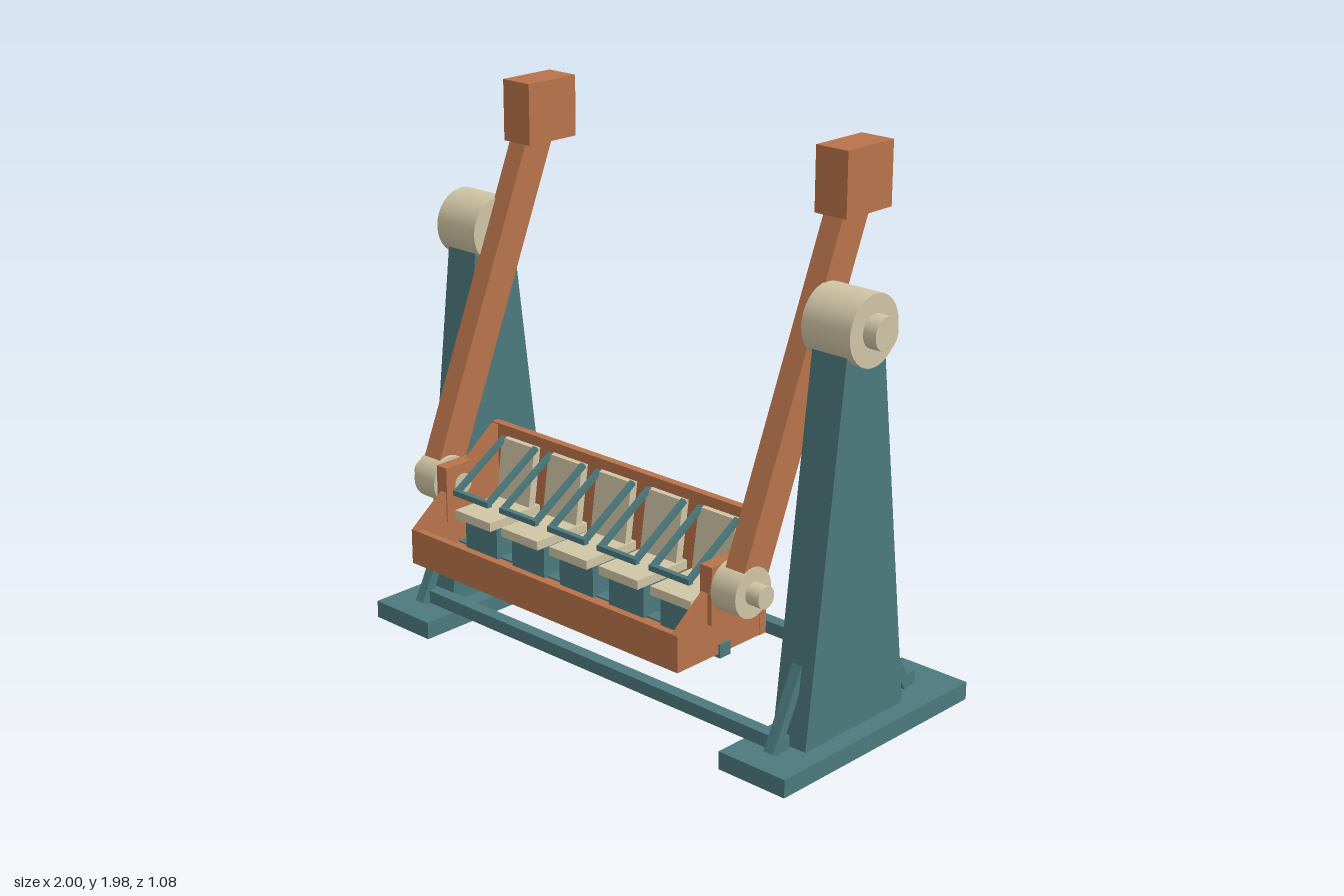
import * as THREE from 'three';

const paint = (name, color) => {
  const m = new THREE.MeshStandardMaterial({ color });
  m.name = name;
  return m;
};

export function createModel() {
  const teal = paint('teal', 0x4c797d);
  const copper = paint('copper', 0xb9734a);
  const cream = paint('cream', 0xcfc5a5);
  const model = new THREE.Group();
  model.name = 'swingRide';

  const add = (parent, name, geometry, material) => {
    const mesh = new THREE.Mesh(geometry, material);
    mesh.name = name;
    parent.add(mesh);
    return mesh;
  };
  // Box from its low and high limits on each axis
  const box = (parent, name, mat, [x0, x1], [y0, y1], [z0, z1]) =>
    add(parent, name, new THREE.BoxGeometry(x1 - x0, y1 - y0, z1 - z0)
      .translate((x0 + x1) / 2, (y0 + y1) / 2, (z0 + z1) / 2), mat);
  // Side outline of [z, y] points, extruded from x0 to x1
  const slab = (parent, name, mat, points, x0, x1) => {
    const shape = new THREE.Shape(points.map(p => new THREE.Vector2(...p)));
    const g = new THREE.ExtrudeGeometry(shape, { depth: x1 - x0, bevelEnabled: false });
    return add(parent, name, g.rotateY(-Math.PI / 2).translate(x1, 0, 0), mat);
  };
  // Cylinder lying along x
  const drum = (parent, name, mat, r, x0, x1, y, z) =>
    add(parent, name, new THREE.CylinderGeometry(r, r, x1 - x0, 32)
      .rotateZ(Math.PI / 2).translate((x0 + x1) / 2, y, z), mat);
  // Square beam in the y-z plane between two [z, y] points
  const beam = (parent, name, mat, x, width, thick, [z0, y0], [z1, y1]) => {
    const g = new THREE.BoxGeometry(width, Math.hypot(z1 - z0, y1 - y0), thick)
      .rotateX(Math.atan2(z1 - z0, y1 - y0))
      .translate(x, (y0 + y1) / 2, (z0 + z1) / 2);
    return add(parent, name, g, mat);
  };

  // Towers, arms and bearings, the same on both sides
  for (const s of [1, -1]) {
    const side = new THREE.Group();
    side.name = s > 0 ? 'leftSide' : 'rightSide';
    model.add(side);
    const span = (a, b) => (s > 0 ? [a, b] : [-b, -a]);

    box(side, 'basePlate', teal, span(0.71, 0.99), [0, 0.065], [-0.54, 0.42]);
    slab(side, 'tower', teal,
      [[0.235, 0.065], [0.076, 1.4], [-0.106, 1.4], [-0.27, 0.065]], ...span(0.78, 0.92));
    beam(side, 'frontBrace', teal, s * 0.85, 0.04, 0.035, [0.322, 0.07], [0.185, 0.34]);
    beam(side, 'rearBrace', teal, s * 0.85, 0.04, 0.035, [-0.365, 0.07], [-0.22, 0.34]);

    drum(side, 'mainBearing', cream, 0.121, ...span(0.755, 0.95), 1.445, -0.015);
    drum(side, 'mainAxle', cream, 0.057, ...span(0.75, 1), 1.445, -0.015);
    beam(side, 'arm', copper, s * 0.72, 0.08, 0.12, [0.33, 0.61], [-0.18, 1.84]);
    box(side, 'counterweight', copper, span(0.65, 0.78), [1.757, 1.977], [-0.3, -0.073]);

    drum(side, 'lowerBearing', cream, 0.086, ...span(0.66, 0.765), 0.61, 0.325);
    drum(side, 'lowerAxle', cream, 0.038, ...span(0.6, 0.82), 0.61, 0.325);
  }
  box(model, 'frontCrossbar', teal, [-0.87, 0.87], [0.07, 0.118], [0.255, 0.303]);
  box(model, 'rearCrossbar', teal, [-0.87, 0.87], [0.07, 0.118], [-0.404, -0.356]);

  // Gondola tub
  const gondola = new THREE.Group();
  gondola.name = 'gondola';
  model.add(gondola);
  box(gondola, 'floor', copper, [-0.62, 0.62], [0.363, 0.39], [0.13, 0.53]);
  box(gondola, 'frontWall', copper, [-0.635, 0.635], [0.362, 0.49], [0.513, 0.54]);
  box(gondola, 'backWall', copper, [-0.64, 0.64], [0.362, 0.79], [0.115, 0.145]);
  box(gondola, 'underBar', teal, [-0.645, 0.645], [0.348, 0.396], [0.295, 0.345]);
  for (const [a, b, c] of [[0.61, 0.638, 0.655], [-0.638, -0.61, -0.655]]) {
    slab(gondola, 'sideWall', copper,
      [[0.54, 0.362], [0.54, 0.488], [0.15, 0.785], [0.12, 0.785], [0.12, 0.362]], a, b);
    const inner = Math.sign(c) * 0.605;
    box(gondola, 'pivotBlock', copper,
      [Math.min(c, inner), Math.max(c, inner)], [0.485, 0.687], [0.247, 0.4]);
  }

  // Five seats with lap bars
  for (let i = -2; i <= 2; i++) {
    const seat = new THREE.Group();
    seat.name = 'seat';
    seat.position.x = i * 0.237;
    gondola.add(seat);
    box(seat, 'seatBase', teal, [-0.08, 0.08], [0.385, 0.512], [0.18, 0.36]);
    box(seat, 'cushion', cream, [-0.09, 0.09], [0.51, 0.542], [0.16, 0.4]);
    beam(seat, 'backrest', cream, 0, 0.165, 0.03, [0.192, 0.54], [0.16, 0.755]);
    for (const x of [-0.08, 0.08]) {
      beam(seat, 'lapBarArm', teal, x, 0.018, 0.018, [0.165, 0.755], [0.4, 0.61]);
    }
    box(seat, 'lapBarGrip', teal, [-0.089, 0.089], [0.6, 0.62], [0.388, 0.408]);
  }
  return model;
}
